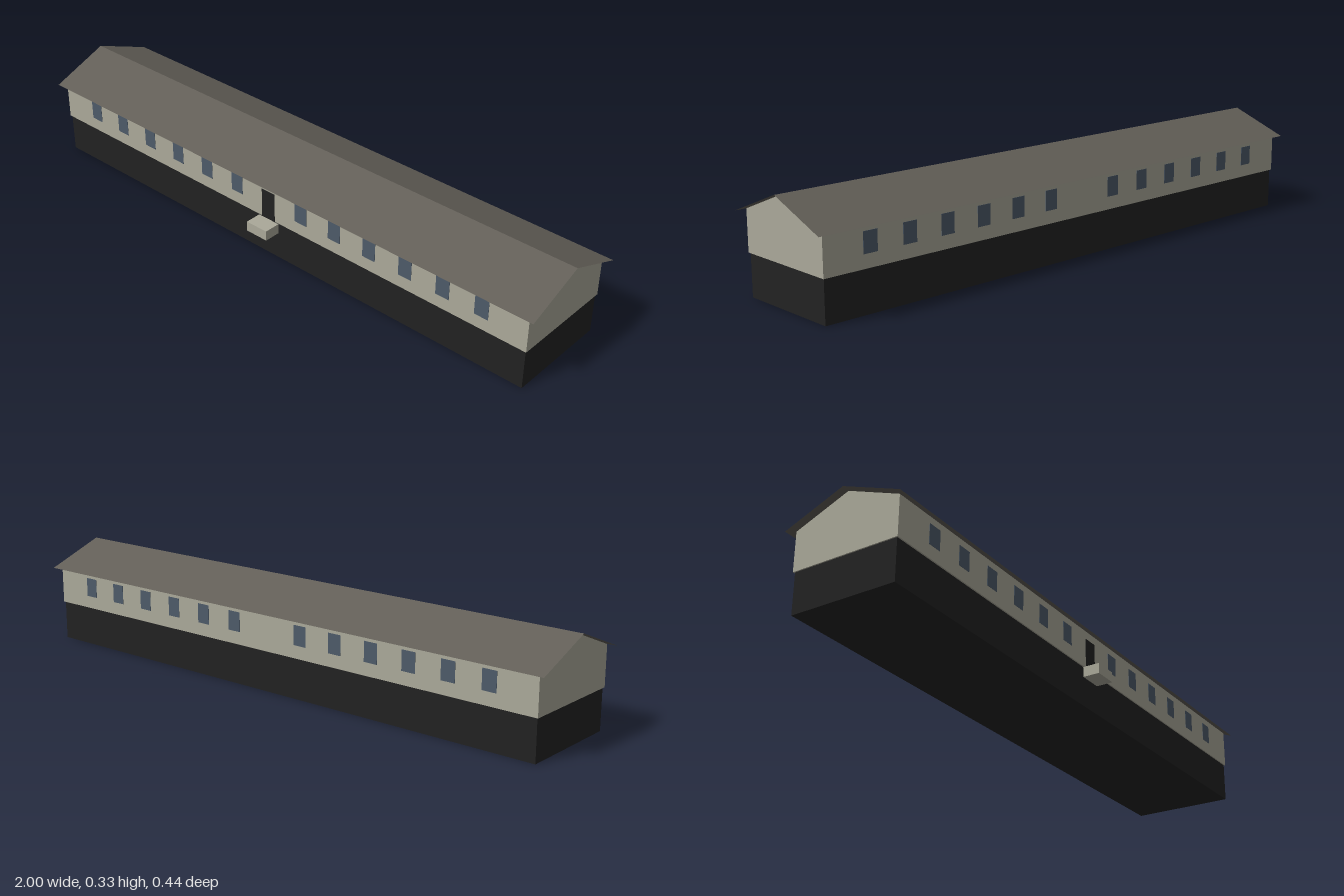
import * as THREE from 'three';

const mat = (name, color, extra = {}) => {
  const m = new THREE.MeshStandardMaterial({ color, ...extra });
  m.name = name;
  return m;
};

export function createModel() {
  const model = new THREE.Group();
  model.name = 'longHouse';
  const wall = mat('wallBeige', 0xaba99a);
  const dark = mat('darkGrey', 0x222222);
  const glass = mat('windowBlue', 0x4e5b69);
  const roofing = mat('roofBrown', 0x625e57, { side: THREE.DoubleSide });

  const midZ = -0.017; // ridge line of the building
  const halfDepth = 0.18, halfLength = 0.976;
  const floorY = 0.132, eaveY = 0.26, apexY = 0.331;

  const add = (name, geometry, material, x, y, z) => {
    const mesh = new THREE.Mesh(geometry, material);
    mesh.name = name;
    mesh.position.set(x, y, z);
    model.add(mesh);
    return mesh;
  };

  // Foundation, slightly inset below the walls
  add('foundation', new THREE.BoxGeometry(1.944, floorY, 0.351), dark, 0, floorY / 2, midZ);

  // Walls with gabled ends, extruded along the length
  const gable = new THREE.Shape([
    [-halfDepth, floorY], [halfDepth, floorY], [halfDepth, eaveY], [0, apexY], [-halfDepth, eaveY],
  ].map(([a, b]) => new THREE.Vector2(a, b)));
  const walls = new THREE.ExtrudeGeometry(gable, { depth: 2 * halfLength, bevelEnabled: false });
  walls.translate(0, 0, -halfLength).rotateY(Math.PI / 2);
  add('walls', walls, wall, 0, 0, midZ);

  // Thin folded roof sheet: raise the middle row of a plane to the ridge
  const sheet = new THREE.PlaneGeometry(2, 0.4, 1, 2).rotateX(-Math.PI / 2);
  const p = sheet.attributes.position;
  for (let i = 0; i < p.count; i++) p.setY(i, Math.abs(p.getZ(i)) < 0.01 ? 0.333 : 0.2545);
  const roof = sheet.toNonIndexed();
  roof.computeVertexNormals();
  add('roof', roof, roofing, 0, 0, midZ);

  // Six windows each side of the centre, on both long walls
  const pane = new THREE.BoxGeometry(0.048, 0.064, 0.002);
  for (const face of [1, -1]) {
    for (const side of [1, -1]) {
      for (let i = 1; i <= 6; i++) {
        add('window', pane, glass, side * i * 0.1367, 0.206, midZ + face * halfDepth);
      }
    }
  }

  // Front door and its step
  add('door', new THREE.BoxGeometry(0.054, 0.101, 0.002), dark, 0, 0.1825, midZ + halfDepth);
  add('doorStep', new THREE.BoxGeometry(0.083, 0.034, 0.056), wall, 0, 0.112, 0.19);

  return model;
}
